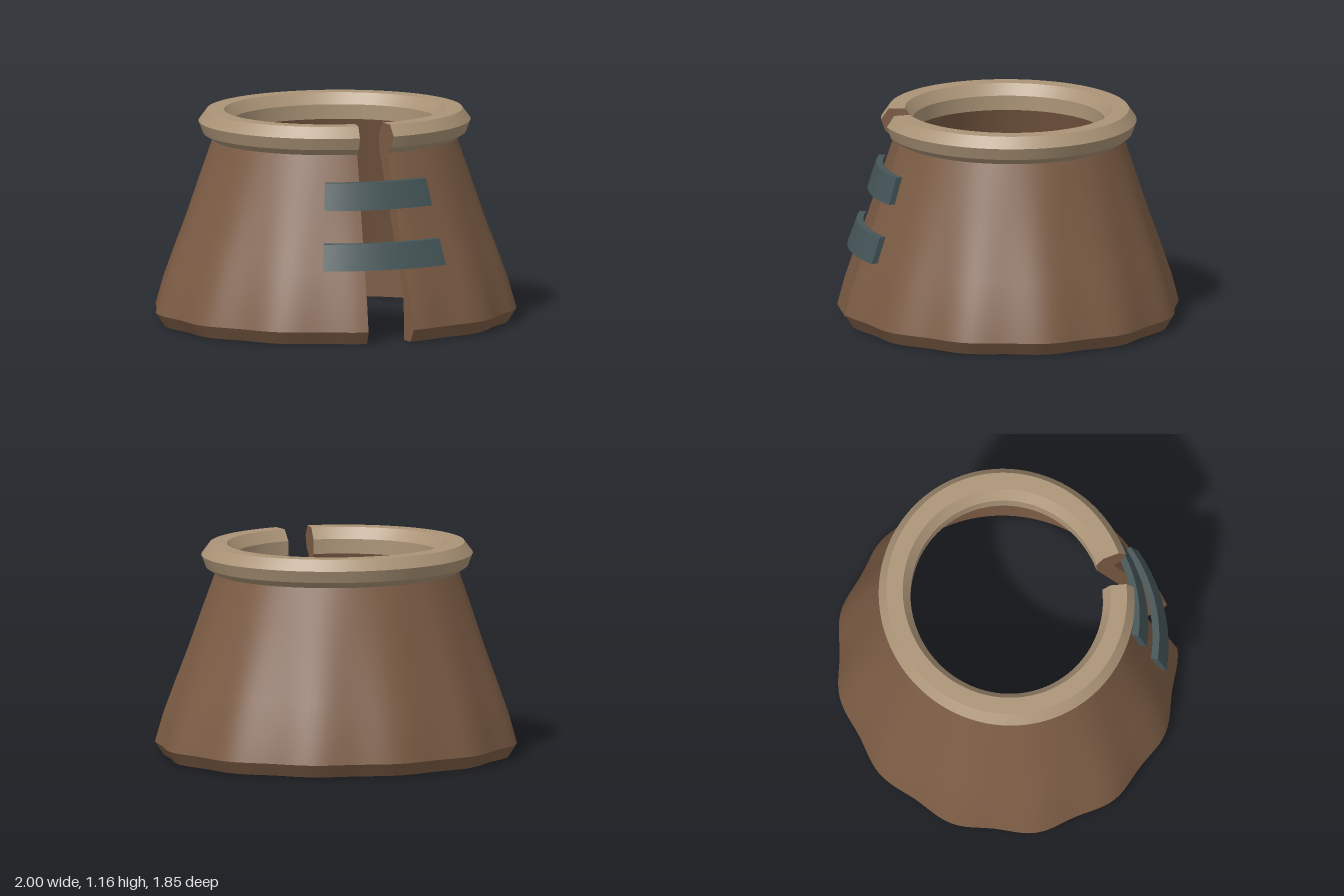
import * as THREE from 'three';
import { mergeGeometries } from 'three/addons/utils/BufferGeometryUtils.js';

const DEPTH = 0.93; // the plan is slightly oval
const GAP = THREE.MathUtils.degToRad(7.5);
const FULL = [GAP, Math.PI * 2 - GAP];

const leather = new THREE.MeshStandardMaterial({ color: 0x7d5d45 });
leather.name = 'brown leather';
const trim = new THREE.MeshStandardMaterial({ color: 0xab9477 });
trim.name = 'tan trim';
const strapCloth = new THREE.MeshStandardMaterial({ color: 0x455558 });
strapCloth.name = 'slate strap';

// Point on the oval at an angle measured from the front
const place = (r, y, a) => [r * Math.sin(a), y, r * Math.cos(a) * DEPTH];

// Sweep an open [radius, y] run along an arc, smooth within the run
function sweep(run, [a0, a1], segments, ripple = 0) {
  const pos = [], index = [], n = run.length;
  for (let i = 0; i <= segments; i++) {
    const t = i / segments;
    const a = a0 + (a1 - a0) * t;
    for (const [r, y] of run) {
      const fade = ripple * Math.max(0, 1 - y);
      const wave = 1 - fade * (1 - Math.cos(t * 12 * Math.PI * 2)) / 2;
      pos.push(...place(r * wave, y, a));
    }
  }
  for (let i = 0; i < segments; i++) {
    for (let j = 0; j < n - 1; j++) {
      const p = i * n + j, q = p + n;
      index.push(p, q, q + 1, p, q + 1, p + 1);
    }
  }
  const g = new THREE.BufferGeometry();
  g.setAttribute('position', new THREE.Float32BufferAttribute(pos, 3));
  g.setIndex(index);
  g.computeVertexNormals();
  return g;
}

// Flat end face closing a profile at one angle
function cap(profile, a, flip) {
  const g = new THREE.ShapeGeometry(new THREE.Shape(profile.map(p => new THREE.Vector2(...p))));
  g.deleteAttribute('uv');
  const p = g.attributes.position;
  for (let i = 0; i < p.count; i++) p.setXYZ(i, ...place(p.getX(i), p.getY(i), a));
  if (flip) g.setIndex(Array.from(g.index.array).reverse());
  g.computeVertexNormals();
  return g;
}

const caps = (profile, [a0, a1]) => [cap(profile, a0, false), cap(profile, a1, true)];
const pairs = pts => pts.slice(1).map((p, i) => [pts[i], p]);

export function createModel() {
  const group = new THREE.Group();
  const add = (name, parts, material) => {
    const mesh = new THREE.Mesh(mergeGeometries(parts), material);
    mesh.name = name;
    group.add(mesh);
  };

  // Profiles run up the outside and down the inside
  const outer = [[1, 0.07], [0.957, 0.22], [0.89, 0.4], [0.82, 0.58], [0.745, 0.79], [0.668, 1]];
  const rim = [[0.668, 1], [0.72, 1.035], [0.745, 1.1], [0.7, 1.16], [0.605, 1.16], [0.56, 1.1], [0.56, 1.02]];
  const inner = [[0.56, 1.02], [0.87, 0.24], [0.875, 0]];
  const base = [[0.875, 0], [0.955, 0], [1, 0.07]];

  // Flared, gently rippled body, with faces along the split
  add('body', [
    sweep(outer, FULL, 144, 0.03),
    ...pairs(base).map((run, i) => sweep(run, FULL, 144, i ? 0.03 : 0.02)),
    ...pairs(inner).map(run => sweep(run, FULL, 144)),
    ...caps([...base, ...outer.slice(1), ...rim.slice(1), ...inner.slice(1, -1)], FULL),
  ], leather);

  // Bevelled rim around the neck
  add('rim', pairs(rim).map(run => sweep(run, FULL, 144)), trim);

  // Curved straps bridging the split: bottom and top height, outer radii
  const straps = [['upperStrap', 0.715, 0.86, 0.824, 0.774], ['lowerStrap', 0.4, 0.54, 0.942, 0.888]];
  const arc = [-0.386, 0.386];
  for (const [name, y0, y1, r0, r1] of straps) {
    const t = 0.04;
    const profile = [[r0 - t, y0], [r0, y0], [r1, y1], [r1 - t, y1]];
    add(name, [
      ...pairs([...profile, profile[0]]).map(run => sweep(run, arc, 16)),
      ...caps(profile, arc),
    ], strapCloth);
  }
  return group;
}
